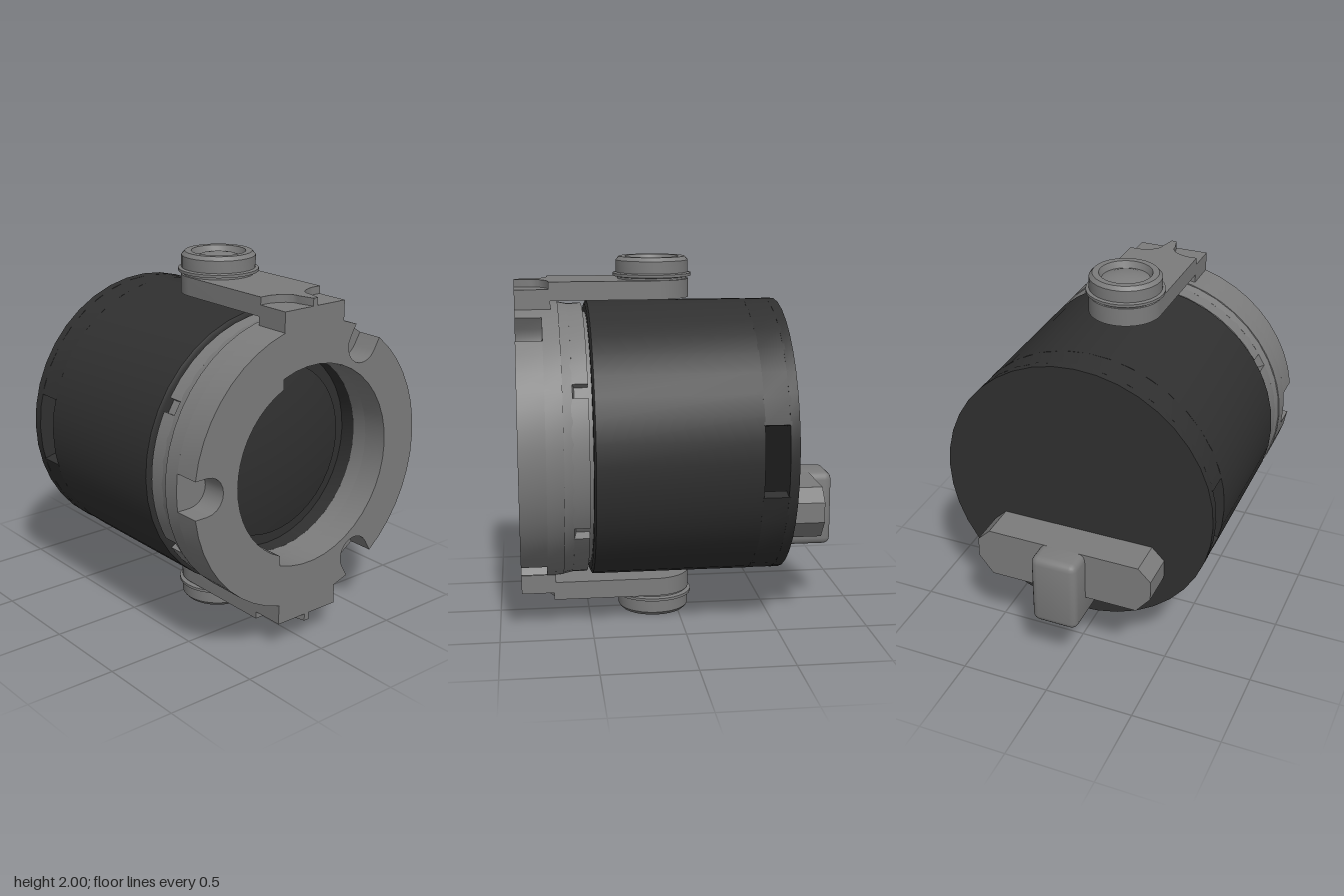
import * as THREE from 'three';
import { toCreasedNormals } from 'three/addons/utils/BufferGeometryUtils.js';
import { RoundedBoxGeometry } from 'three/addons/geometries/RoundedBoxGeometry.js';

const grey = new THREE.MeshStandardMaterial({ color: 0x7c7c7c });
const dark = new THREE.MeshStandardMaterial({ color: 0x303030 });
const V = (x, y) => new THREE.Vector2(x, y);

function mesh(name, geometry, material) {
  const m = new THREE.Mesh(toCreasedNormals(geometry, 0.6), material);
  m.name = name;
  return m;
}

// Turned part around the x axis; profile points are [radius, x]
function turned(name, profile, material) {
  const g = new THREE.LatheGeometry(profile.map(p => V(...p)), 40);
  return mesh(name, g.rotateZ(-Math.PI / 2), material);
}

// Plate cut from a shape in the (-z, y) plane, running from x0 to x1
function plate(name, shape, x0, x1, material) {
  const g = new THREE.ExtrudeGeometry(shape, { depth: x1 - x0, bevelEnabled: false, curveSegments: 40 });
  return mesh(name, g.rotateY(Math.PI / 2).translate(x0, 0, 0), material);
}

function arc(r, from, to, n) {
  return Array.from({ length: n + 1 }, (_, i) => {
    const a = from + (to - from) * i / n;
    return V(r * Math.cos(a), r * Math.sin(a));
  });
}

function arcBand(rIn, rOut, from, to) {
  return new THREE.Shape([...arc(rOut, from, to, 14), ...arc(rIn, to, from, 14)]);
}

// Stepped bore: one side is slightly narrower than the other
function bore() {
  const a = Math.acos(-0.2 / 0.54), b = Math.acos(-0.2 / 0.49);
  return new THREE.Path([...arc(0.54, -a, a, 26), ...arc(0.49, b, 2 * Math.PI - b, 18)]);
}

// Ring outline with three U-shaped notches in the rim
function notchedOutline() {
  const pts = [], half = Math.asin(0.1 / 0.76), third = Math.PI * 2 / 3;
  for (let k = 0; k < 3; k++) {
    const a = -Math.PI / 3 + k * third;
    for (let i = 0; i <= 10; i++) {
      const t = -Math.PI / 2 + Math.PI * i / 10;
      pts.push(V(0.68 - 0.1 * Math.cos(t), 0.1 * Math.sin(t)).rotateAround(V(0, 0), a));
    }
    pts.push(...arc(0.76, a + half, a + third - half, 14));
  }
  return new THREE.Shape(pts);
}

// Flat part lying in the (x, z) plane, from y0 to y1
function slab(name, shape, y0, y1) {
  const g = new THREE.ExtrudeGeometry(shape, { depth: y1 - y0, bevelEnabled: false, curveSegments: 16 });
  return mesh(name, g.rotateX(-Math.PI / 2).translate(0, y0, 0), grey);
}

function createArm() {
  const arm = new THREE.Group();
  arm.name = 'pivotArm';
  // Bar with a round pivot end
  const bar = new THREE.Shape();
  bar.moveTo(0.13, -0.2);
  bar.lineTo(0.7, -0.2);
  bar.lineTo(0.7, 0.2);
  bar.lineTo(0.13, 0.2);
  bar.absarc(0.13, 0, 0.2, Math.PI / 2, Math.PI * 1.5, false);
  arm.add(slab('armBar', bar, 0.78, 0.88));

  // Foot on the ring, with a flared centre rib between two pockets
  const foot = new THREE.Shape([V(0.69, -0.2), V(0.88, -0.2), V(0.88, 0.2), V(0.69, 0.2)]);
  arm.add(slab('armFoot', foot, 0.735, 0.84));
  const rib = new THREE.Shape();
  rib.moveTo(0.69, -0.2);
  rib.quadraticCurveTo(0.71, -0.03, 0.8, -0.035);
  rib.lineTo(0.88, -0.015);
  rib.lineTo(0.88, 0.015);
  rib.lineTo(0.8, 0.035);
  rib.quadraticCurveTo(0.71, 0.03, 0.69, 0.2);
  arm.add(slab('armRib', rib, 0.84, 0.88));

  // Pivot knob: flange, rim and domed recess
  const profile = [[0.19, 0.87], [0.19, 0.89], [0.215, 0.895], [0.215, 0.91], [0.198, 0.915], [0.198, 0.98],
    [0.18, 1], [0.145, 1], [0.13, 0.965], [0.09, 0.98], [0.045, 0.988], [0, 0.99]];
  const knob = mesh('pivotKnob', new THREE.LatheGeometry(profile.map(p => V(...p)), 28), grey);
  knob.position.x = 0.13;
  arm.add(knob);
  return arm;
}

export function createModel() {
  const model = new THREE.Group();
  const body = new THREE.Group();
  body.name = 'housing';
  body.position.y = 1;
  model.add(body);

  // Drum with closed ends
  body.add(turned('drum', [[0, -0.37], [0.76, -0.37], [0.76, 0.49], [0.74, 0.5], [0.68, 0.5]], dark));

  // Rear cap: disc, and a wall left open on both sides
  body.add(turned('rearDisc', [[0, -0.55], [0.76, -0.55], [0.76, -0.5], [0, -0.5]], dark));
  const slot = Math.asin(0.19 / 0.76);
  for (const start of [0, Math.PI]) {
    body.add(plate('rearWall', arcBand(0.69, 0.76, start + slot, start + Math.PI - slot), -0.51, -0.365, dark));
  }

  // Neck with collar and four rim segments
  body.add(turned('neck', [[0.70, 0.49], [0.70, 0.59], [0.745, 0.6], [0.755, 0.65], [0.54, 0.65]], grey));
  const cuts = [30, 150, 210, 330].map(d => d * Math.PI / 180);
  cuts.forEach((a, i) => {
    const next = i < 3 ? cuts[i + 1] : cuts[0] + 2 * Math.PI;
    body.add(plate('neckSegment', arcBand(0.69, 0.745, a + 0.05, next - 0.05), 0.52, 0.61, grey));
  });

  // Front ring: plain back layer, notched front layer
  const back = new THREE.Shape(arc(0.76, 0, Math.PI * 2, 48).slice(0, -1));
  const front = notchedOutline();
  back.holes.push(bore());
  front.holes.push(bore());
  body.add(plate('frontRingBack', back, 0.65, 0.74, grey));
  body.add(plate('frontRing', front, 0.74, 0.88, grey));

  // Domed lens in its seat
  const dome = Array.from({ length: 9 }, (_, i) => {
    const r = 0.475 * (1 - i / 8);
    return [r, 0.58 + 0.06 * (1 - (r / 0.475) ** 2)];
  });
  body.add(turned('lens', [[0.54, 0.65], [0.54, 0.56], [0.475, 0.56], ...dome], dark));

  // Arms above and below
  const top = createArm(), bottom = createArm();
  bottom.rotation.x = Math.PI;
  body.add(top, bottom);

  // Rear latch: crossbar with cut corners and a grip
  const bar = new THREE.Shape([V(-0.5, -0.4), V(-0.42, -0.5), V(0.42, -0.5), V(0.5, -0.4),
    V(0.5, -0.29), V(0.43, -0.22), V(-0.43, -0.22), V(-0.5, -0.29)]);
  body.add(plate('latchBar', bar, -0.75, -0.54, grey));
  const grip = mesh('latchGrip', new RoundedBoxGeometry(0.34, 0.42, 0.26, 2, 0.04), grey);
  grip.position.set(-0.71, -0.43, 0);
  body.add(grip);

  return model;
}
